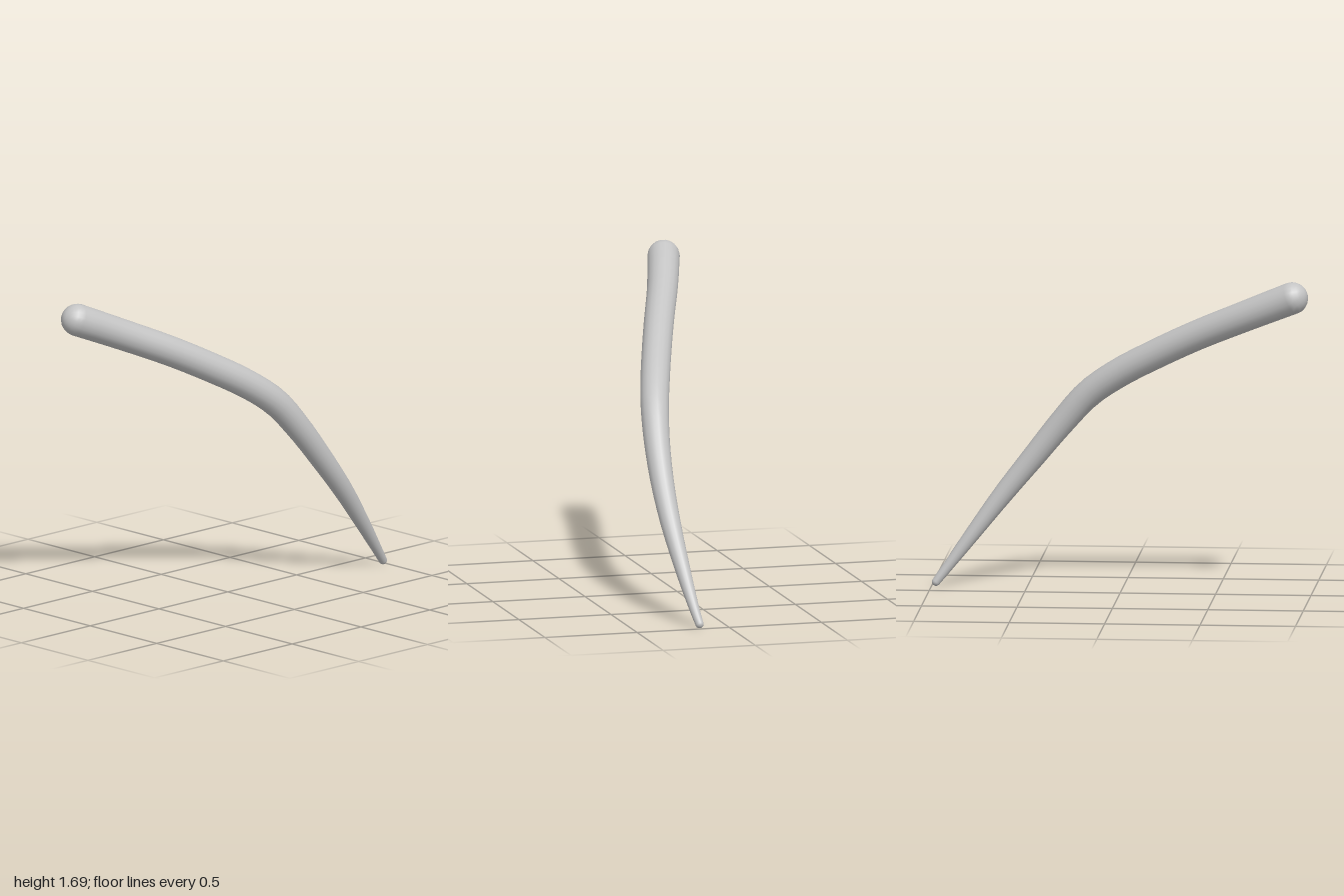
import * as THREE from 'three';
import { mergeVertices } from 'three/addons/utils/BufferGeometryUtils.js';

const SIDES = 18, STEPS = 32, CAP = 6;

// Centreline stations: x, y, z, radius (thick end first)
const stations = [
  [-0.915, 1.602, -0.185, 0.085],
  [-0.66, 1.49, -0.107, 0.081],
  [-0.4, 1.371, -0.015, 0.079],
  [-0.18, 1.257, 0.06, 0.078],
  [0.02, 1.143, 0.125, 0.077],
  [0.18, 1.025, 0.172, 0.074],
  [0.32, 0.868, 0.2, 0.068],
  [0.475, 0.675, 0.213, 0.061],
  [0.63, 0.482, 0.21, 0.053],
  [0.8, 0.257, 0.189, 0.039],
  [0.91, 0.11, 0.17, 0.028],
  [0.977, 0.022, 0.155, 0.022],
];

// Tapered round sweep with a hemisphere on each end
function taperedRod() {
  const curve = new THREE.CatmullRomCurve3(
    stations.map(([x, y, z]) => new THREE.Vector3(x, y, z)), false, 'centripetal');
  const rings = [];
  const addRing = (t, radiusScale, shift) => {
    const s = t * (stations.length - 1);
    const i = Math.min(Math.floor(s), stations.length - 2);
    const r = THREE.MathUtils.lerp(stations[i][3], stations[i + 1][3], s - i);
    const dir = curve.getTangent(t);
    rings.push({ c: curve.getPoint(t).addScaledVector(dir, shift * r), dir, r: r * radiusScale });
  };
  for (let k = 0; k < CAP; k++) {
    const a = (k / CAP) * Math.PI / 2;
    addRing(0, Math.sin(a), -Math.cos(a));
  }
  for (let k = 0; k <= STEPS; k++) addRing(k / STEPS, 1, 0);
  for (let k = CAP - 1; k >= 0; k--) {
    const a = (k / CAP) * Math.PI / 2;
    addRing(1, Math.sin(a), Math.cos(a));
  }

  const positions = [], index = [];
  const zAxis = new THREE.Vector3(0, 0, 1);
  rings.forEach(({ c, dir, r }, i) => {
    const u = new THREE.Vector3().crossVectors(dir, zAxis).normalize();
    const v = new THREE.Vector3().crossVectors(dir, u);
    for (let j = 0; j < SIDES; j++) {
      const a = (j / SIDES) * Math.PI * 2;
      const p = c.clone().addScaledVector(u, r * Math.cos(a)).addScaledVector(v, r * Math.sin(a));
      positions.push(p.x, p.y, p.z);
      if (i === rings.length - 1) continue;
      const a0 = i * SIDES + j, b0 = i * SIDES + (j + 1) % SIDES;
      if (i > 0) index.push(a0, b0, a0 + SIDES);
      if (i < rings.length - 2 || i === 0) index.push(b0, b0 + SIDES, a0 + SIDES);
      
    }
  });
  const geometry = new THREE.BufferGeometry();
  geometry.setAttribute('position', new THREE.Float32BufferAttribute(positions, 3));
  geometry.setIndex(index);
  // Weld the poles so the ends shade smoothly
  const welded = mergeVertices(geometry, 1e-5);
  welded.computeVertexNormals();
  return welded;
}

export function createModel() {
  const group = new THREE.Group();
  group.name = 'bentRod';
  const grey = new THREE.MeshStandardMaterial({ color: 0xc4c4c4 });
  grey.name = 'light grey';
  const rod = new THREE.Mesh(taperedRod(), grey);
  rod.name = 'taperedRod';
  group.add(rod);
  return group;
}
